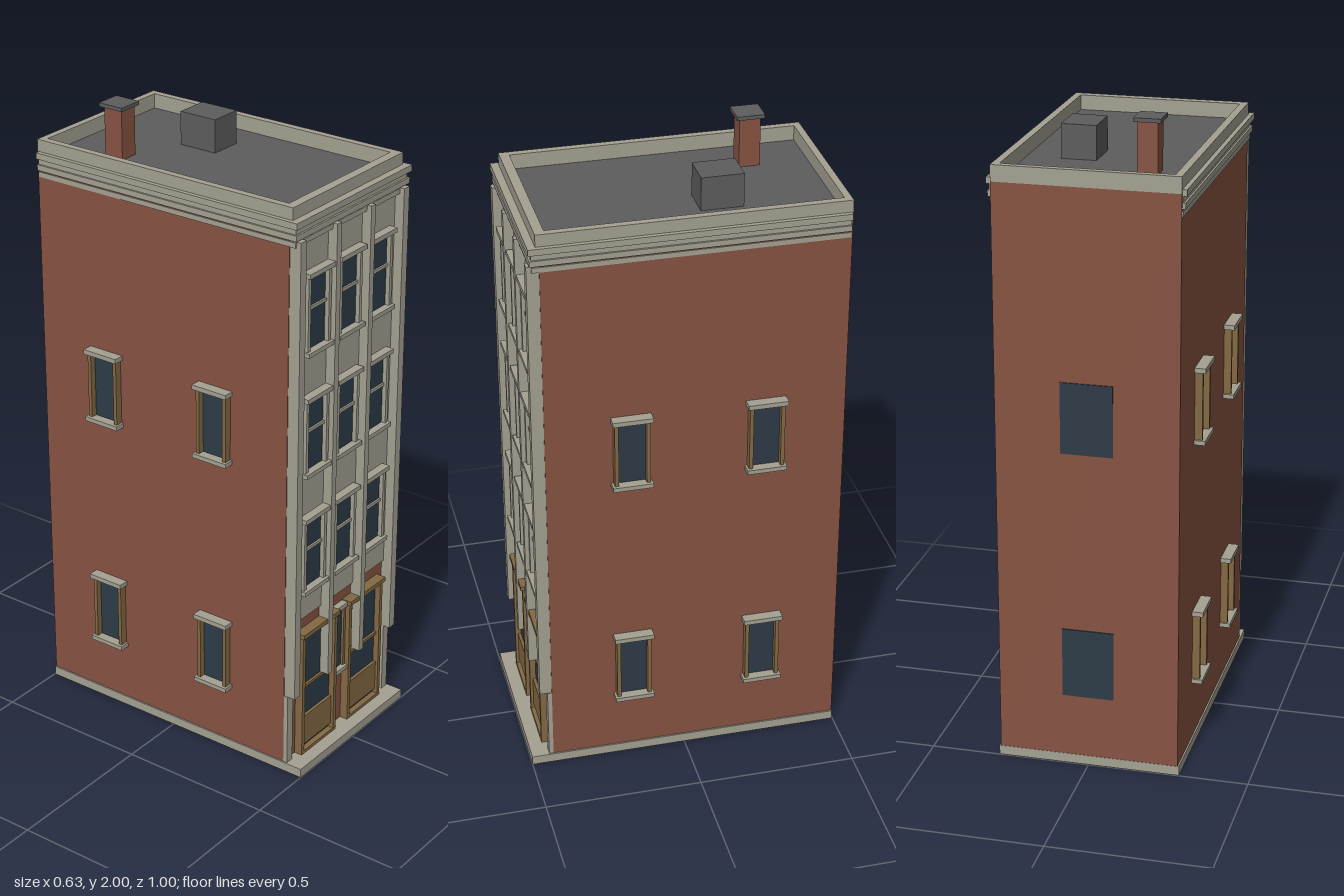
import * as THREE from 'three';

const material = (name, color) => {
  const m = new THREE.MeshStandardMaterial({ color });
  m.name = name;
  return m;
};

export function createModel() {
  const brick = material('brick', 0x875342);
  const stone = material('stone', 0xa4a192);
  const glass = material('glass', 0x2d3b47);
  const wood = material('ochre wood', 0x836943);
  const roofing = material('roofing', 0x5d5d5d);

  const model = new THREE.Group();
  model.name = 'townhouse';

  // Box given by its extents along each axis
  const box = (parent, name, mat, x0, x1, y0, y1, z0, z1) => {
    const mesh = new THREE.Mesh(new THREE.BoxGeometry(x1 - x0, y1 - y0, z1 - z0), mat);
    mesh.position.set((x0 + x1) / 2, (y0 + y1) / 2, (z0 + z1) / 2);
    mesh.name = name;
    parent.add(mesh);
    return mesh;
  };
  const group = (name, parent = model) => {
    const g = new THREE.Group();
    g.name = name;
    parent.add(g);
    return g;
  };

  // Main volume
  box(model, 'baseSlab', stone, -0.285, 0.285, 0, 0.03, -0.498, 0.5);
  box(model, 'brickBody', brick, -0.28, 0.28, 0.03, 1.83, -0.497, 0.43);
  box(model, 'stoneFacade', stone, -0.27, 0.27, 0.51, 1.8, 0.425, 0.437);
  box(model, 'roofDeck', roofing, -0.26, 0.26, 1.825, 1.833, -0.48, 0.415);

  // Parapet ring around the roof
  const ring = new THREE.Shape([[-0.28, -0.44], [0.28, -0.44], [0.28, 0.497], [-0.28, 0.497]]
    .map(([x, y]) => new THREE.Vector2(x, y)));
  ring.holes.push(new THREE.Path([[-0.257, -0.41], [-0.257, 0.475], [0.257, 0.475], [0.257, -0.41]]
    .map(([x, y]) => new THREE.Vector2(x, y))));
  const parapet = new THREE.Mesh(new THREE.ExtrudeGeometry(ring, { depth: 0.05, bevelEnabled: false }), stone);
  parapet.rotation.x = -Math.PI / 2;
  parapet.position.y = 1.83;
  parapet.name = 'parapet';
  model.add(parapet);

  // Cornice bands along the front and both sides
  const cornice = group('cornice');
  for (const [y0, y1, out] of [[1.762, 1.778, 0.003], [1.785, 1.803, 0.01], [1.803, 1.822, 0.004], [1.822, 1.842, 0.014]]) {
    box(cornice, 'frontBand', stone, -0.28 - out, 0.28 + out, y0, y1, 0.42, 0.45 + out);
    for (const s of [-1, 1]) {
      const x0 = s > 0 ? 0.27 : -0.28 - out;
      box(cornice, 'sideBand', stone, x0, x0 + 0.01 + out, y0, y1, -0.492, 0.43);
    }
  }

  // Pilasters
  const pilasters = group('pilasters');
  for (const s of [-1, 1]) {
    box(pilasters, 'cornerPilaster', stone, s * 0.264 - 0.014, s * 0.264 + 0.014, 0.27, 1.78, 0.43, 0.468);
    box(pilasters, 'cornerFoot', stone, s * 0.266 - 0.014, s * 0.266 + 0.014, 0.03, 0.27, 0.43, 0.444);
    box(pilasters, 'innerPilaster', stone, s * 0.087 - 0.011, s * 0.087 + 0.011, 0.27, 1.78, 0.43, 0.468);
  }

  // Framed window facing +z, centred on x = 0, standing on z = 0
  const makeWindow = (name, parent, w, h, depth, jambMat, rail) => {
    const g = group(name, parent);
    const hw = w / 2;
    box(g, 'pane', glass, -hw, hw, 0, h, 0, 0.004);
    for (const s of [-1, 1]) {
      box(g, 'jamb', jambMat, s * (hw + 0.004) - 0.006, s * (hw + 0.004) + 0.006, 0, h, 0, depth);
    }
    box(g, 'lintel', stone, -hw - 0.017, hw + 0.017, h - 0.003, h + 0.012, 0, depth + 0.01);
    box(g, 'sill', stone, -hw - 0.017, hw + 0.017, -0.012, 0.002, 0, depth + 0.01);
    if (rail) box(g, 'sashRail', stone, -hw, hw, rail - 0.005, rail + 0.005, 0, 0.01);
    return g;
  };

  // Front windows, three floors of three
  const frontWindows = group('frontWindows');
  for (const y of [0.62, 1.02, 1.415]) {
    for (const x of [-0.16, 0, 0.16]) {
      makeWindow('frontWindow', frontWindows, 0.095, 0.238, 0.018, stone, 0.132).position.set(x, y, 0.437);
    }
  }

  // Side windows, two floors on each side
  const sideWindows = group('sideWindows');
  for (const s of [-1, 1]) {
    for (const y of [0.233, 1.022]) {
      for (const z of [0.168, -0.248]) {
        const w = makeWindow('sideWindow', sideWindows, 0.09, 0.218, 0.024, wood);
        w.position.set(s * 0.28, y, z);
        w.rotation.y = s * Math.PI / 2;
      }
    }
  }

  // Plain back windows
  for (const y of [0.23, 1.02]) {
    box(model, 'backWindow', glass, -0.08, 0.08, y, y + 0.222, -0.5, -0.495);
  }

  // Shopfront bays
  for (const s of [-1, 1]) {
    const bay = group(s < 0 ? 'rightShopBay' : 'leftShopBay');
    bay.position.x = s * 0.126;
    box(bay, 'shopGlass', glass, -0.085, 0.085, 0.035, 0.455, 0.43, 0.438);
    for (const e of [-1, 1]) {
      box(bay, 'post', wood, e * 0.086 - 0.007, e * 0.086 + 0.007, 0.03, 0.46, 0.43, 0.457);
    }
    box(bay, 'lowerPanel', wood, -0.085, 0.085, 0.055, 0.158, 0.43, 0.448);
    box(bay, 'transom', wood, -0.085, 0.085, 0.26, 0.27, 0.43, 0.446);
    box(bay, 'head', wood, -0.098, 0.098, 0.455, 0.47, 0.43, 0.464);
    box(bay, 'threshold', wood, -0.093, 0.093, 0.03, 0.04, 0.43, 0.457);
  }

  // Narrow centre window between the bays
  const centre = makeWindow('centreWindow', model, 0.052, 0.222, 0.012, wood);
  centre.scale.x = 0.95;
  centre.position.set(0, 0.233, 0.43);

  // Roof fittings
  box(model, 'chimney', brick, -0.17, -0.108, 1.83, 1.99, -0.325, -0.26);
  box(model, 'chimneyCap', roofing, -0.181, -0.099, 1.988, 2, -0.336, -0.25);
  box(model, 'roofHatch', roofing, 0.043, 0.151, 1.83, 1.938, -0.205, -0.075);

  return model;
}
